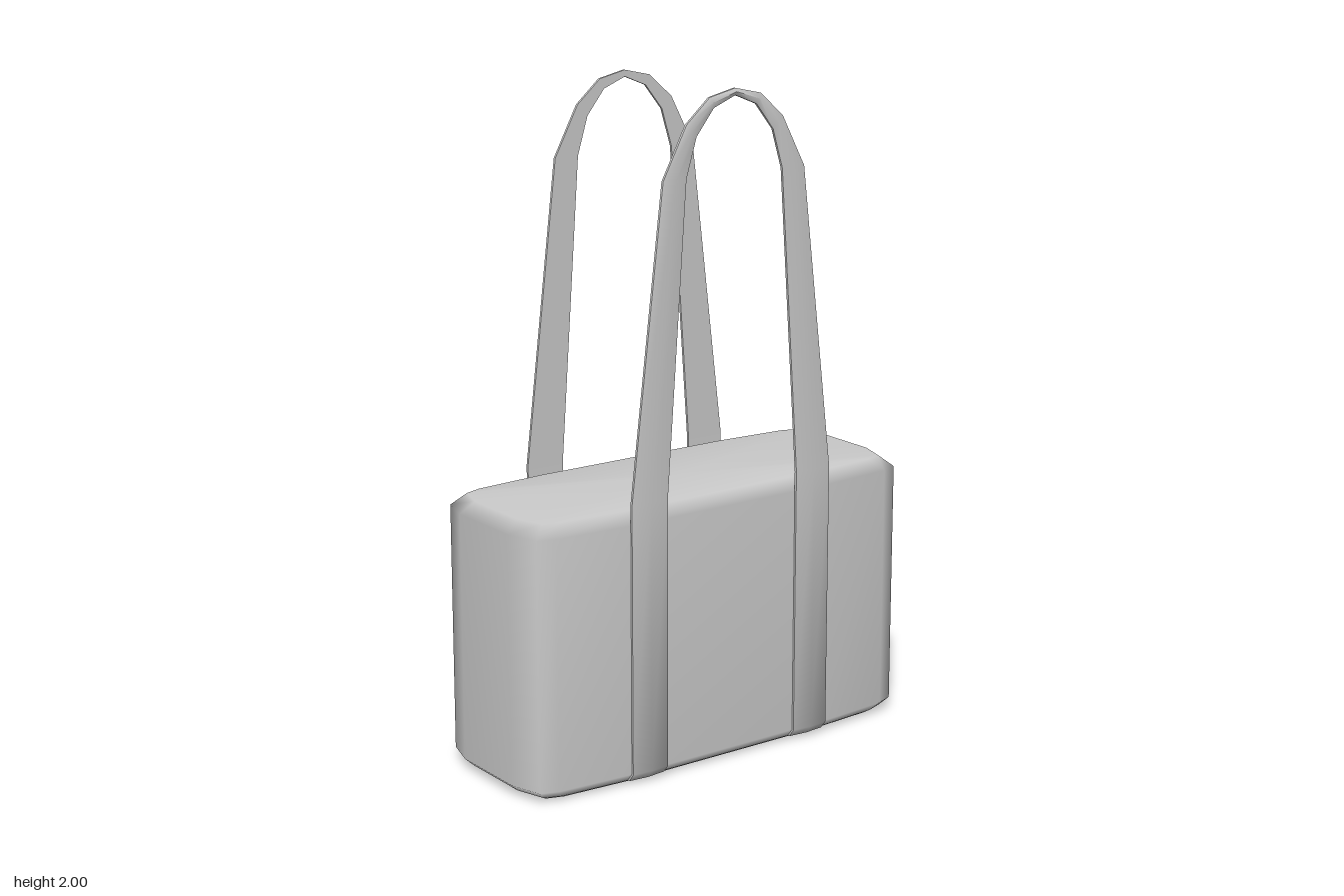
import * as THREE from 'three';
import { toCreasedNormals } from 'three/addons/utils/BufferGeometryUtils.js';

// Skin a list of equal-length rings of [x, y, z] points and close both ends.
function loft(rings) {
  const n = rings[0].length;
  const points = rings.flat();
  const index = [];
  for (let i = 0; i < rings.length - 1; i++) {
    for (let j = 0; j < n; j++) {
      const a = i * n + j, b = i * n + (j + 1) % n;
      index.push(a, b, b + n, a, b + n, a + n);
    }
  }
  const centre = (ring) => [0, 1, 2].map((k) => ring.reduce((s, p) => s + p[k], 0) / n);
  const last = (rings.length - 1) * n;
  const c0 = points.push(centre(rings[0])) - 1;
  const c1 = points.push(centre(rings[rings.length - 1])) - 1;
  for (let j = 0; j < n; j++) {
    const k = (j + 1) % n;
    index.push(c0, k, j, c1, last + j, last + k);
  }
  const geometry = new THREE.BufferGeometry();
  geometry.setAttribute('position', new THREE.Float32BufferAttribute(points.flat(), 3));
  geometry.setIndex(index);
  geometry.computeVertexNormals();
  return geometry;
}

// Bag body: bulging rectangle outline with chamfered top and bottom.
function bodyGeometry() {
  const quarter = [[0.36, 0.263], [0.6, 0.245], [0.655, 0.225], [0.685, 0.125]];
  const side = [...quarter, ...quarter.map(([x, z]) => [x, -z]).reverse()];
  const outline = [...side, ...side.map(([x, z]) => [-x, -z])];
  // height, x scale, z scale
  const levels = [[0.005, 0.935, 0.86], [0.015, 0.96, 0.92], [0.04, 1, 1], [0.79, 1, 1], [0.825, 0.94, 0.87]];
  return loft(levels.map(([y, sx, sz]) => outline.map(([x, z]) => [x * sx, y, z * sz])));
}

// Strap: a thin tapering band, slightly domed on its outer face.
function strapGeometry() {
  // outer x, outer y, inner x, inner y, depth offset
  const half = [
    [0.36, 0.015, 0.235, 0.015, -0.02],
    [0.36, 0.04, 0.235, 0.04, 0],
    [0.36, 0.85, 0.235, 0.85, 0],
    [0.25, 1.76, 0.17, 1.76, 0],
    [0.17, 1.91, 0.135, 1.875, 0],
    [0.09, 1.98, 0.075, 1.95, 0],
  ];
  const mirrored = half.map(([ox, oy, ix, iy, d]) => [-ox, oy, -ix, iy, d]).reverse();
  const path = [...half, [0, 2, 0, 1.98, 0], ...mirrored];
  const rings = path.map(([ox, oy, ix, iy, d]) => [
    [ix, iy, 0.27 + d],
    [(ix + ox) / 2, (iy + oy) / 2, 0.276 + d],
    [ox, oy, 0.27 + d],
    [ox, oy, 0.262 + d],
    [ix, iy, 0.262 + d],
  ]);
  return toCreasedNormals(loft(rings), Math.PI / 4);
}

export function createModel() {
  const group = new THREE.Group();
  group.name = 'bag';
  const material = new THREE.MeshStandardMaterial({ color: 0xcccccc });

  const body = new THREE.Mesh(bodyGeometry(), material);
  body.name = 'body';
  group.add(body);

  // One strap on each long side
  const strap = strapGeometry();
  ['frontStrap', 'backStrap'].forEach((name, i) => {
    const mesh = new THREE.Mesh(strap, material);
    mesh.name = name;
    mesh.rotation.y = i * Math.PI;
    group.add(mesh);
  });
  return group;
}
